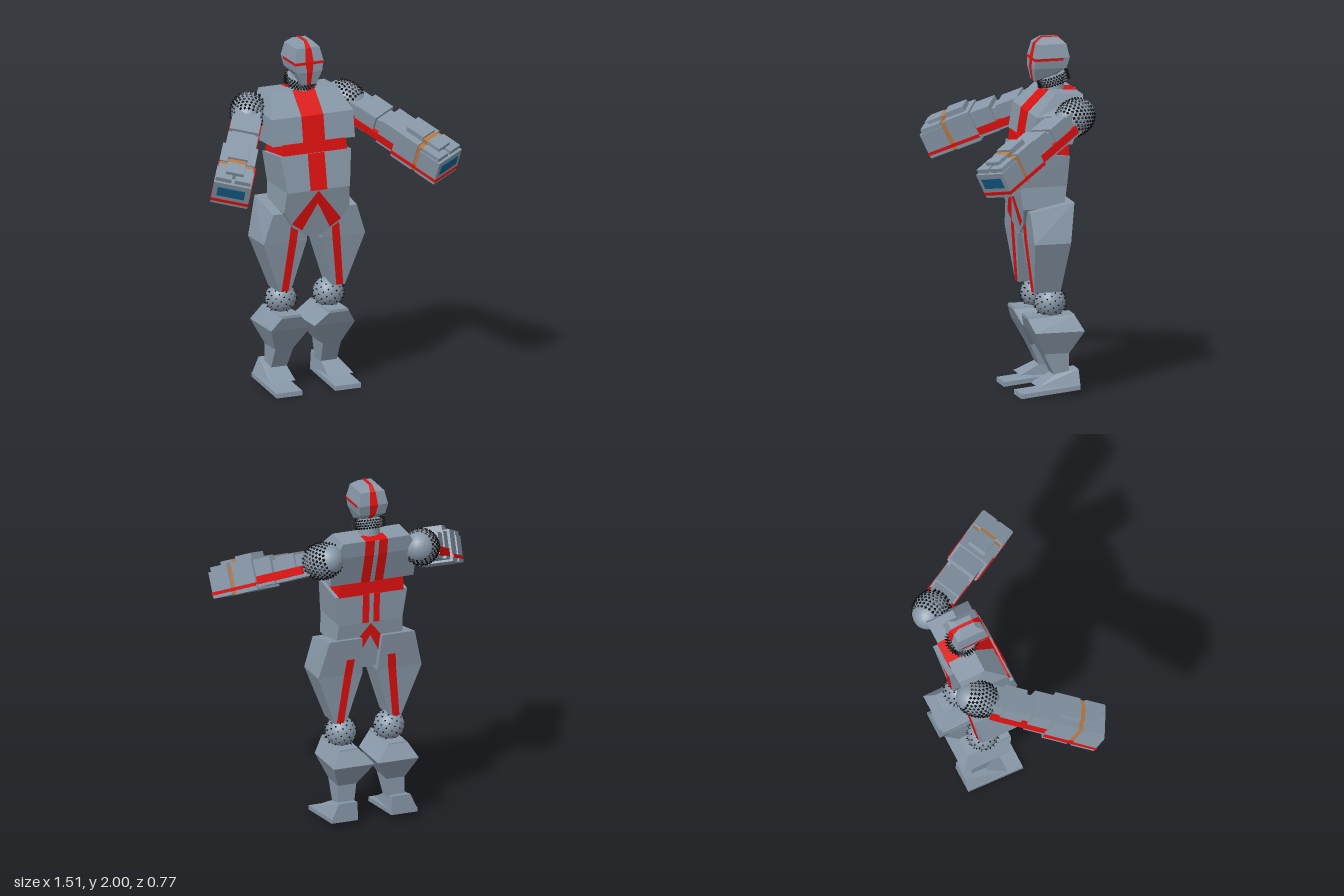
import * as THREE from 'three';
import { mergeGeometries } from 'three/addons/utils/BufferGeometryUtils.js';

const mat = (name, color) => Object.assign(new THREE.MeshStandardMaterial({ color }), { name });

export function createModel() {
  const steel = mat('steel', 0x8898a8);
  const red = mat('red', 0xe01010);
  const black = mat('black', 0x0c0c0c);
  const copper = mat('copper', 0xb87a42);
  const blue = mat('blue', 0x145f8c);

  const root = new THREE.Group();
  root.name = 'armouredFigure';

  const add = (parent, name, geometry, material) => {
    const m = new THREE.Mesh(geometry, material);
    m.name = name;
    parent.add(m);
    return m;
  };

  // Four-sided loft; each ring is [x0, x1, zBack, zFront, yFront, yBack], listed from top to bottom
  const loft = (rings) => {
    const pos = [];
    const c = rings.map(([x0, x1, zb, zf, yf, yb = yf]) => [[x0, yf, zf], [x1, yf, zf], [x1, yb, zb], [x0, yb, zb]]);
    const quad = (a, b, d, e) => pos.push(...a, ...b, ...d, ...a, ...d, ...e);
    for (let i = 0; i < c.length - 1; i++) {
      for (let k = 0; k < 4; k++) {
        const n = (k + 1) % 4;
        quad(c[i + 1][k], c[i + 1][n], c[i][n], c[i][k]);
      }
    }
    quad(...c[0]);
    quad(...c[c.length - 1].slice().reverse());
    const g = new THREE.BufferGeometry();
    g.setAttribute('position', new THREE.Float32BufferAttribute(pos, 3));
    g.computeVertexNormals();
    return g;
  };
  // Same loft with a new width, slightly proud at front and back
  const stripe = (rings, w) =>
    loft(rings.map(([, , zb, zf, yf, yb = yf]) => [-w, w, zb - 0.005, zf + 0.005, yf, yb]));
  const sym = (rows) => rows.map(([x, ...r]) => [-x, x, ...r]);

  // Cones standing on points along their normals, merged to one geometry
  const spikes = (list, radius, height) => {
    const up = new THREE.Vector3(0, 1, 0);
    return mergeGeometries(list.map(([p, n]) => {
      const g = new THREE.ConeGeometry(radius, height, 4);
      g.translate(0, height / 2 - 0.002, 0);
      g.applyQuaternion(new THREE.Quaternion().setFromUnitVectors(up, n));
      g.translate(p.x, p.y, p.z);
      return g;
    }));
  };

  // Torso: chest, waist band and abdomen
  const chest = sym([
    [0.2, -0.33, -0.17, 1.71, 1.7],
    [0.25, -0.315, -0.05, 1.59, 1.61],
    [0.25, -0.255, -0.025, 1.44, 1.43],
  ]);
  const abdomen = sym([
    [0.215, -0.25, 0, 1.385, 1.355],
    [0.19, -0.24, 0.04, 1.18],
  ]);
  add(root, 'chest', loft(chest), steel);
  add(root, 'chestStripe', stripe(chest, 0.066), red);
  add(root, 'waistBand', loft(sym([[0.19, -0.25, -0.015, 1.445, 1.435], [0.195, -0.25, -0.005, 1.38, 1.35]])), red);
  add(root, 'abdomen', loft(abdomen), steel);
  add(root, 'abdomenStripe', stripe(abdomen, 0.05), red);
  for (const rings of [chest, abdomen]) {
    add(root, 'spineRidge', loft(rings.map(([, , zb, , yf, yb = yf]) => [-0.012, 0.012, zb - 0.009, zb + 0.03, yb])), steel);
  }

  // Pelvis with a chevron on front and back
  const frontZ = (y) => 0.035 - 0.16 * (1.19 - y);
  const backZ = (y) => -0.24 + 0.14 * (1.19 - y);
  const pelvis = [[0.19, 1.19], [0.2, 1.06], [0.14, 0.965], [0.035, 0.9]].map(([x, y]) => [x, backZ(y), frontZ(y), y]);
  add(root, 'pelvis', loft(sym(pelvis)), steel);
  const chevron = new THREE.Shape([[0, 1.175], [0.15, 0.99], [0.085, 0.945], [0, 1.1], [-0.085, 0.945], [-0.15, 0.99]]
    .map((p) => new THREE.Vector2(...p)));
  for (const [f, off] of [[frontZ, 0.006], [backZ, -0.006]]) {
    const g = new THREE.ShapeGeometry(chevron);
    const p = g.attributes.position;
    for (let i = 0; i < p.count; i++) p.setZ(i, f(p.getY(i)) + off);
    if (off < 0) g.setIndex([...g.index.array].reverse());
    g.computeVertexNormals();
    add(root, 'pelvisChevron', g, red);
  }

  // Head with cross-shaped markings
  const head = sym([
    [0.04, -0.235, -0.145, 1.996],
    [0.07, -0.27, -0.105, 1.965],
    [0.086, -0.286, -0.088, 1.89],
    [0.076, -0.27, -0.083, 1.83],
    [0.045, -0.22, -0.095, 1.755, 1.79],
  ]);
  add(root, 'head', loft(head), steel);
  const crest = [0.008, 0.016, 0.024, 0.016, 0.01];
  add(root, 'headStripe', loft(head.map(([, , zb, zf, yf, yb = yf], i) => {
    const lift = i ? 0 : 0.004;
    return [-crest[i], crest[i], zb - 0.004, zf + 0.004, yf + lift, yb + lift];
  })), red);
  add(root, 'browLine', loft(sym([[0.088, -0.25, -0.084, 1.888], [0.087, -0.25, -0.083, 1.874]])), red);

  // Neck and tilted spiked collar
  add(root, 'neck', new THREE.CylinderGeometry(0.055, 0.065, 0.12, 12), steel).position.set(0, 1.73, -0.215);
  const collar = new THREE.Group();
  collar.name = 'collar';
  collar.position.set(0, 1.758, -0.212);
  collar.rotation.x = 0.3;
  root.add(collar);
  add(collar, 'collarRing', new THREE.CylinderGeometry(0.082, 0.075, 0.045, 24), steel);
  const ringSpikes = [];
  for (let r = 0; r < 4; r++) {
    for (let i = 0; i < 30; i++) {
      const a = ((i + (r % 2) / 2) / 30) * Math.PI * 2;
      const n = new THREE.Vector3(Math.cos(a), 0, Math.sin(a));
      ringSpikes.push([n.clone().multiplyScalar(0.078).setY((r - 1.5) * 0.014), n]);
    }
  }
  add(collar, 'collarSpikes', spikes(ringSpikes, 0.0075, 0.022), black);

  const thigh = [
    [0.06, 0.255, -0.265, -0.01, 1.05, 1.1],
    [0.045, 0.31, -0.23, -0.02, 0.88],
    [0.13, 0.2, -0.2, -0.05, 0.585],
  ];
  const shin = [
    [0.09, 0.2, -0.28, -0.01, 0.455],
    [0.085, 0.205, -0.28, -0.008, 0.44, 0.45],
    [0.01, 0.255, -0.325, -0.04, 0.365],
    [0.09, 0.2, -0.25, -0.105, 0.235],
    [0.105, 0.2, -0.25, -0.165, 0.11],
  ];

  const makeSide = (s) => {
    const side = new THREE.Group();
    side.name = s > 0 ? 'leftLimbs' : 'rightLimbs';
    side.scale.x = s;
    root.add(side);

    // Leg
    add(side, 'thigh', loft(thigh), steel);
    add(side, 'thighStripe', loft([
      [0.1, 0.145, -0.252, -0.01, 0.975],
      [0.11, 0.155, -0.235, -0.015, 0.88],
      [0.147, 0.187, -0.205, -0.045, 0.587],
    ]), red);
    add(side, 'shin', loft(shin), steel);
    add(side, 'boot', loft([
      [0.105, 0.215, -0.3, -0.165, 0.12, 0.145],
      [0.1, 0.255, -0.3, -0.055, 0.06, 0.055],
    ]), steel);
    add(side, 'sole', loft([
      [0.1, 0.258, -0.3, 0.04, 0.026, 0.06],
      [0.1, 0.258, -0.3, 0.042, 0, 0.035],
    ]), steel);

    // Knee ball with short spikes spread evenly
    const knee = new THREE.Group();
    knee.name = 'knee';
    knee.position.set(0.145, 0.52, -0.155);
    side.add(knee);
    add(knee, 'kneeBall', new THREE.SphereGeometry(0.086, 20, 14), steel);
    const dots = [];
    for (let i = 0; i < 90; i++) {
      const y = 1 - (2 * i + 1) / 90, r = Math.sqrt(1 - y * y), a = i * 2.39996;
      const n = new THREE.Vector3(r * Math.cos(a), y, r * Math.sin(a));
      dots.push([n.clone().multiplyScalar(0.085), n]);
    }
    add(knee, 'kneeSpikes', spikes(dots, 0.006, 0.016), black);

    // Arm frame: local z runs from shoulder to fist, local x points outward
    const dir = new THREE.Vector3(0.37, -0.29, 0.57).normalize();
    const out = new THREE.Vector3(0, 1, 0).cross(dir).normalize();
    const arm = new THREE.Group();
    arm.name = 'arm';
    arm.quaternion.setFromRotationMatrix(new THREE.Matrix4().makeBasis(out, dir.clone().cross(out), dir));
    arm.rotateZ(0.2);
    arm.position.set(0.295, 1.59, -0.255);
    side.add(arm);
    const block = (name, x, y, w, h, t0, t1, m = steel) =>
      add(arm, name, new THREE.BoxGeometry(w, h, t1 - t0), m).position.set(x, y, (t0 + t1) / 2);

    // Shoulder ball, spiked around the middle and bare at the back
    add(arm, 'shoulderBall', new THREE.SphereGeometry(0.1, 24, 16).scale(1, 1, 1.3), steel);
    const studs = [];
    for (let r = 0; r < 8; r++) {
      const phi = 0.95 + r * 0.17;
      const count = Math.round(26 * Math.sin(phi));
      for (let i = 0; i < count; i++) {
        const a = ((i + (r % 2) / 2) / count) * Math.PI * 2;
        const n = new THREE.Vector3(Math.sin(phi) * Math.cos(a), Math.sin(phi) * Math.sin(a), -Math.cos(phi));
        studs.push([n.clone().multiply(new THREE.Vector3(0.1, 0.1, 0.13)), n]);
      }
    }
    add(arm, 'shoulderSpikes', spikes(studs, 0.0105, 0.012), black);

    // Upper arm, elbow and forearm
    block('upperArm', 0, 0, 0.14, 0.13, 0.05, 0.2);
    block('upperArmPlate', 0, 0.02, 0.165, 0.12, 0.13, 0.26);
    block('elbow', 0, 0, 0.13, 0.13, 0.2, 0.34);
    block('forearm', 0, 0.015, 0.17, 0.155, 0.3, 0.44);
    block('armStripe', 0, -0.025, 0.175, 0.045, 0.09, 0.42, red);

    // Gauntlet
    block('cuff', 0, 0.015, 0.2, 0.18, 0.42, 0.57);
    block('cuffPlate', 0, 0.11, 0.11, 0.05, 0.45, 0.565);
    block('copperBand', 0, 0.012, 0.19, 0.17, 0.565, 0.595, copper);
    block('copperBandTop', 0, 0.1, 0.1, 0.045, 0.56, 0.595, copper);
    block('fist', 0, 0.005, 0.21, 0.15, 0.595, 0.735);
    for (const x of [-0.054, 0.054]) block('knuckle', x, 0.085, 0.09, 0.04, 0.6, 0.72);
    block('knucklePlate', 0, 0.1, 0.1, 0.05, 0.595, 0.68);
    block('fistStripe', 0, -0.043, 0.215, 0.018, 0.42, 0.739, red);
    block('fistPanel', 0, 0.02, 0.155, 0.06, 0.732, 0.739, blue);
  };
  makeSide(1);
  makeSide(-1);
  return root;
}
